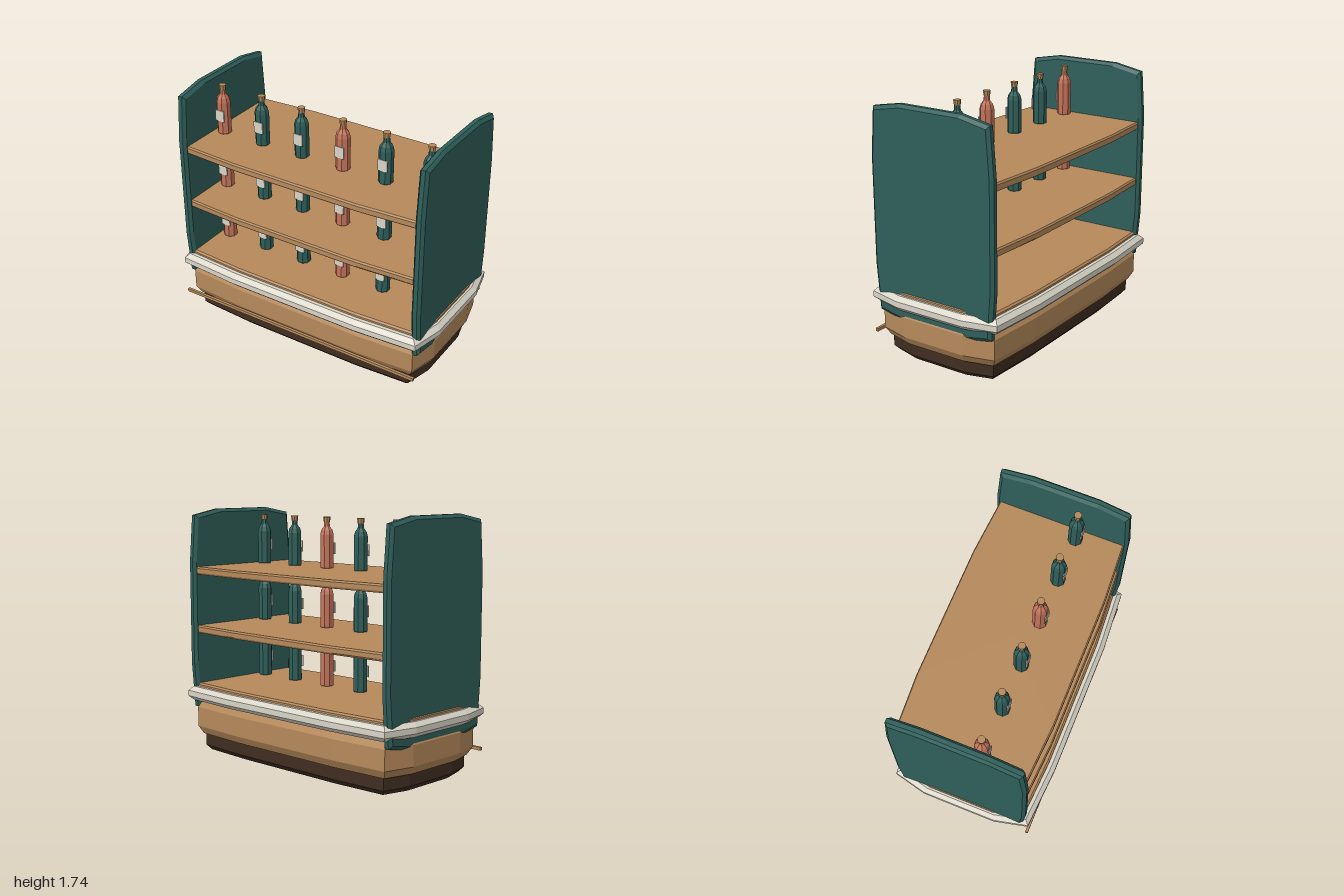
import * as THREE from 'three';

const mat = (name, color) => {
  const m = new THREE.MeshStandardMaterial({ color, flatShading: true });
  m.name = name;
  return m;
};

// Block with a soft, faceted outline; layers are [height, half length, half depth]
function softBlock(layers) {
  const pos = [];
  const rings = layers.map(([y, a, c]) => {
    const q = [[a, c * 0.5], [a * 0.945, c * 0.945], [a * 0.5, c]];
    const mirrored = [...q].reverse();
    return [
      ...q,
      ...mirrored.map(([x, z]) => [-x, z]),
      ...q.map(([x, z]) => [-x, -z]),
      ...mirrored.map(([x, z]) => [x, -z]),
    ].map(([x, z]) => [x, y, z]);
  });
  const n = rings[0].length;
  const top = rings[rings.length - 1], bottom = rings[0];
  const topMid = [0, top[0][1], 0], bottomMid = [0, bottom[0][1], 0];
  for (let i = 0; i < n; i++) {
    const j = (i + 1) % n;
    for (let k = 0; k < rings.length - 1; k++) {
      const lo = rings[k], hi = rings[k + 1];
      pos.push(...lo[i], ...hi[i], ...lo[j], ...lo[j], ...hi[i], ...hi[j]);
    }
    pos.push(...topMid, ...top[j], ...top[i]);
    pos.push(...bottomMid, ...bottom[i], ...bottom[j]);
  }
  const g = new THREE.BufferGeometry();
  g.setAttribute('position', new THREE.Float32BufferAttribute(pos, 3));
  g.computeVertexNormals();
  return g;
}

// Block from y0 to y1 whose top and bottom edges are bevelled
function bevelled(y0, y1, a, c, rise, inset) {
  return softBlock([
    [y0, a - inset, c - inset], [y0 + rise, a, c],
    [y1 - rise, a, c], [y1, a - inset, c - inset],
  ]);
}

export function createModel() {
  const model = new THREE.Group();
  model.name = 'bottleDisplay';
  const wood = mat('wood', 0xb5895a);
  const darkWood = mat('dark wood', 0x3f2d20);
  const teal = mat('teal', 0x2f5f5a);
  const cream = mat('cream', 0xd9d5c8);
  const rose = mat('rose glass', 0xc4735a);

  const add = (parent, name, geometry, material, x = 0, y = 0, z = 0) => {
    const mesh = new THREE.Mesh(geometry, material);
    mesh.name = name;
    mesh.position.set(x, y, z);
    parent.add(mesh);
    return mesh;
  };

  // Base, cabinet and counter trim
  add(model, 'plinth', bevelled(0, 0.16, 0.91, 0.435, 0.035, 0.03), darkWood);
  add(model, 'cabinet', bevelled(0.12, 0.37, 0.955, 0.475, 0.055, 0.03), wood);
  add(model, 'counterTrim', bevelled(0.37, 0.47, 1, 0.53, 0.03, 0.03), cream);
  add(model, 'frontRail', new THREE.BoxGeometry(1.88, 0.022, 0.02), wood, 0, 0.157, 0.49);

  // Deck and shelves
  add(model, 'deck', bevelled(0.45, 0.495, 0.956, 0.475, 0.012, 0.012), wood);
  for (const y of [0.86, 1.28]) {
    add(model, 'shelf', bevelled(y, y + 0.055, 0.945, 0.475, 0.012, 0.008), wood);
  }

  // Upright side panels
  const panel = bevelled(-0.0325, 0.0325, 0.73, 0.475, 0.018, 0.022).rotateZ(-Math.PI / 2);
  add(model, 'leftPanel', panel, teal, 0.9175, 1.01, 0);
  add(model, 'rightPanel', panel, teal, -0.9175, 1.01, 0);

  // Rows of bottles
  const profile = [
    [0, 0], [0.046, 0], [0.05, 0.008], [0.05, 0.235], [0.042, 0.265],
    [0.023, 0.29], [0.02, 0.325], [0, 0.325],
  ].map(([r, y]) => new THREE.Vector2(r, y));
  const glass = new THREE.LatheGeometry(profile, 8, Math.PI / 8);
  const cork = new THREE.CylinderGeometry(0.026, 0.022, 0.035, 8);
  const label = new THREE.BoxGeometry(0.07, 0.08, 0.008);
  for (const y of [0.495, 0.915, 1.335]) {
    [-0.81, -0.485, -0.163, 0.16, 0.484, 0.806].forEach((x, i) => {
      const bottle = new THREE.Group();
      bottle.name = 'bottle';
      bottle.position.set(x, y, 0.13);
      add(bottle, 'glass', glass, i % 3 === 0 ? rose : teal);
      add(bottle, 'cork', cork, wood, 0, 0.34, 0);
      add(bottle, 'label', label, cream, 0, 0.138, 0.046);
      model.add(bottle);
    });
  }
  return model;
}
